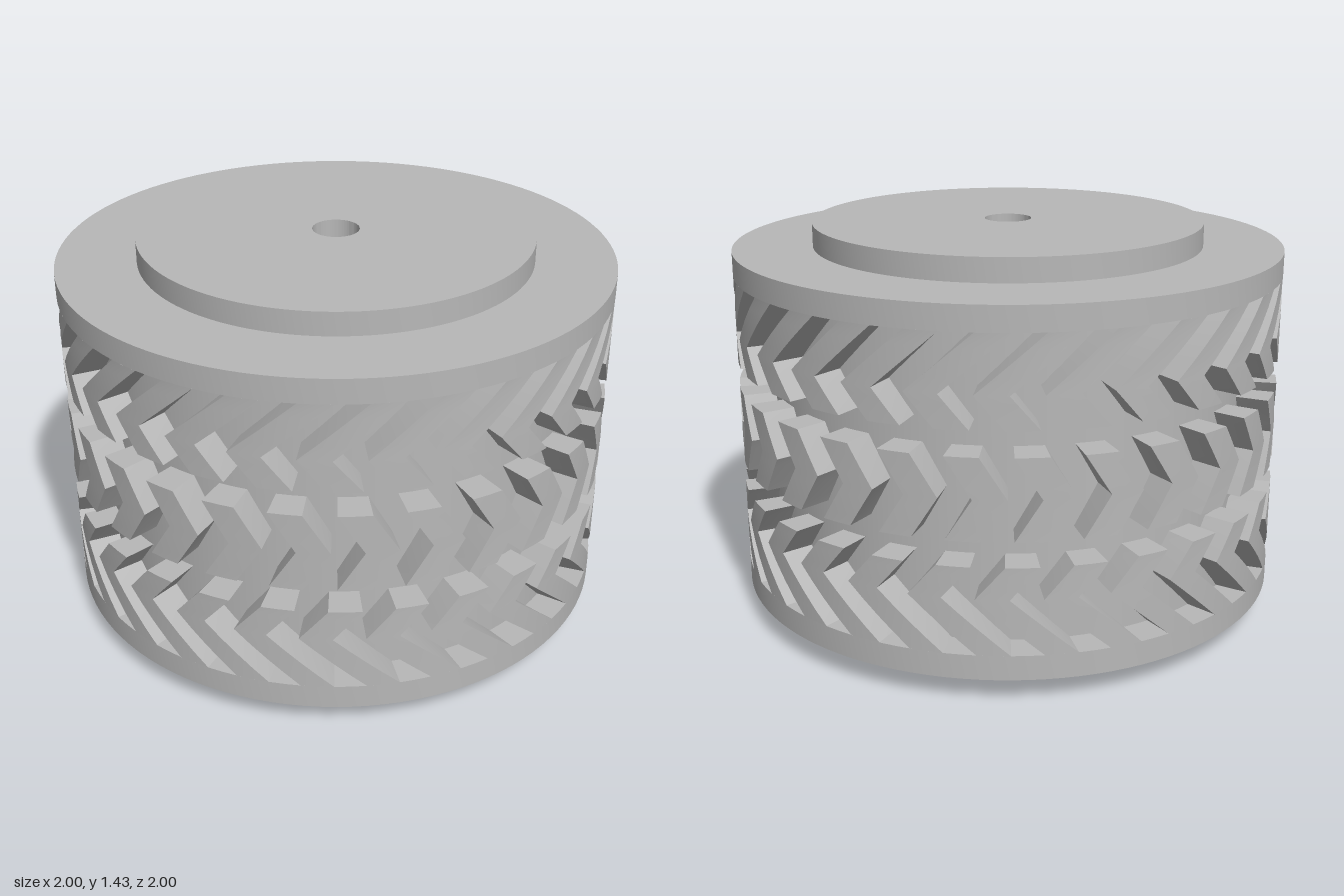
import * as THREE from 'three';
import { toCreasedNormals } from 'three/addons/utils/BufferGeometryUtils.js';

const DEG = Math.PI / 180;
const COUNT = 28;            // blocks around each band
const CORE = 0.885, OUTER = 1, BLOCK_WIDTH = 6.5;

// A chevron block wrapped on the drum: rows are [height, centre angle in degrees], bottom, apex, top
function chevronGeometry([low, apex, high]) {
  const geo = new THREE.BoxGeometry(1, 1, 1, 2, 8, 1);
  const p = geo.attributes.position;
  for (let i = 0; i < p.count; i++) {
    const v = (p.getY(i) + 0.5) * 2;
    const [a, b, t] = v < 1 ? [low, apex, v] : [apex, high, v - 1];
    const y = a[0] + (b[0] - a[0]) * t;
    const angle = (a[1] + (b[1] - a[1]) * t + p.getX(i) * BLOCK_WIDTH) * DEG;
    const r = p.getZ(i) > 0 ? OUTER : CORE - 0.02;
    p.setXYZ(i, r * Math.sin(angle), y, r * Math.cos(angle));
  }
  return toCreasedNormals(geo, 30 * DEG);
}

export function createModel() {
  const model = new THREE.Group();
  const rubber = new THREE.MeshStandardMaterial({ color: 0xb8b8b8 });
  rubber.name = 'grey';

  // Drum with raised hub faces, two solid edge rims and a through bore
  const profile = [
    [0.085, 0], [0.712, 0], [0.712, 0.087], [OUTER, 0.087], [OUTER, 0.175], [CORE, 0.175],
    [CORE, 1.258], [OUTER, 1.258], [OUTER, 1.345], [0.712, 1.345], [0.712, 1.43], [0.085, 1.43], [0.085, 0],
  ].map(([x, y]) => new THREE.Vector2(x, y));
  const drum = new THREE.Mesh(toCreasedNormals(new THREE.LatheGeometry(profile, 112), 30 * DEG), rubber);
  drum.name = 'drum';
  model.add(drum);

  // Three bands of chevron tread; the outer two mirror each other
  const bands = {
    lowerTread: [[0.175, -0.3], [0.373, -13.4], [0.486, -7.8]],
    middleTread: [[0.574, 6.8], [0.716, 12], [0.858, 6.8]],
    upperTread: [[0.946, -7.8], [1.059, -13.4], [1.258, -0.3]],
  };
  for (const [name, rows] of Object.entries(bands)) {
    const band = new THREE.Group();
    band.name = name;
    const geo = chevronGeometry(rows);
    for (let i = 0; i < COUNT; i++) {
      const block = new THREE.Mesh(geo, rubber);
      block.name = 'treadBlock';
      block.rotation.y = (i / COUNT) * Math.PI * 2;
      band.add(block);
    }
    model.add(band);
  }
  return model;
}
